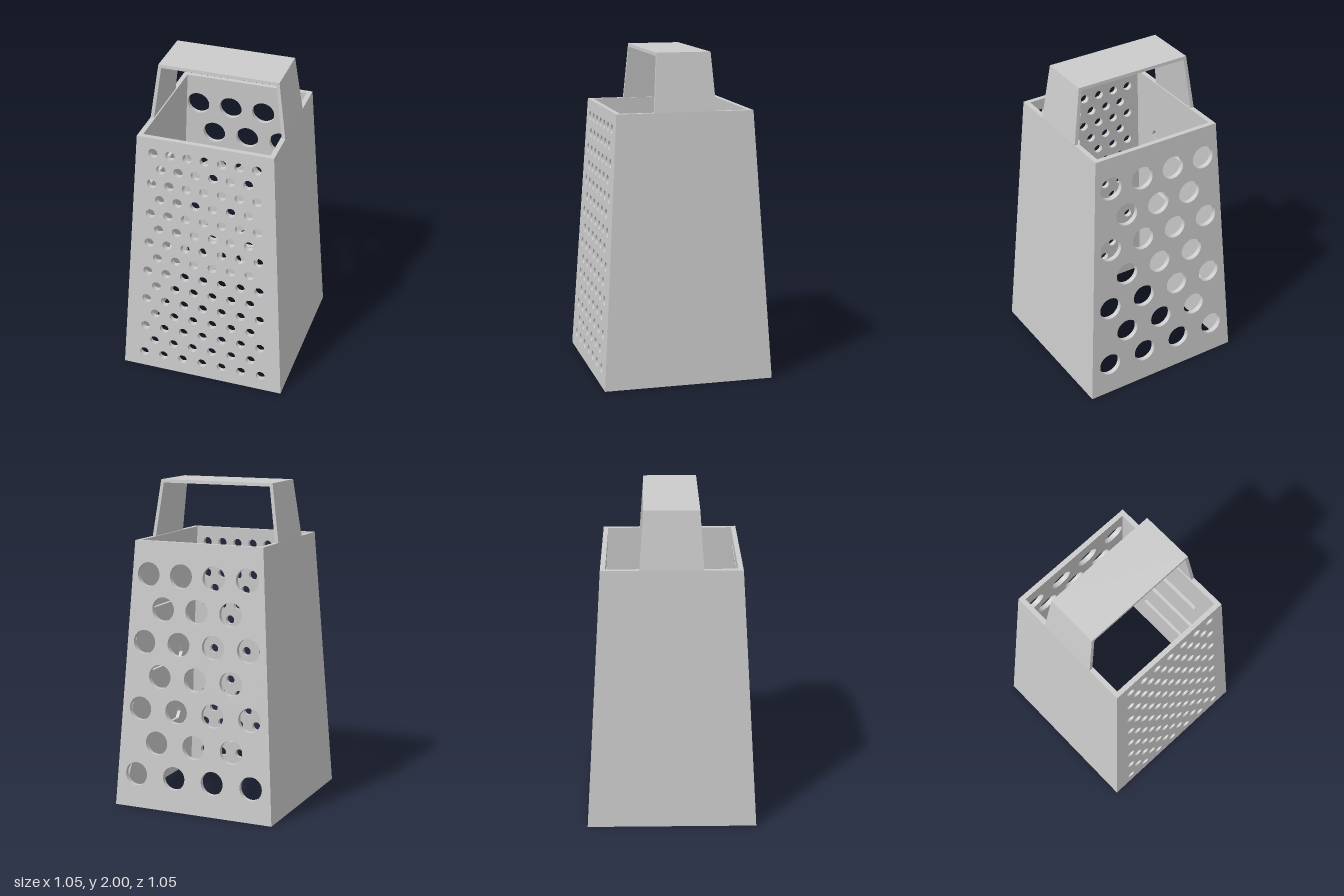
import * as THREE from 'three';
import { toCreasedNormals } from 'three/addons/utils/BufferGeometryUtils.js';

const H = 1.65, BOTTOM = 0.525, TOP = 0.42, WALL = 0.03;
const halfWidth = (y) => BOTTOM + (TOP - BOTTOM) * (y / H);
const material = new THREE.MeshStandardMaterial({ color: 0xcccccc });

// Lean a flat extrusion onto the sloping wall, mitring the side edges
function leanOntoWall(geometry) {
  const p = geometry.attributes.position;
  for (let i = 0; i < p.count; i++) {
    const x = p.getX(i), y = p.getY(i), z = p.getZ(i), w = halfWidth(y);
    if (Math.abs(x) > w - 1e-4) p.setX(i, Math.sign(x) * (w + z));
    p.setZ(i, w + z);
  }
  return toCreasedNormals(geometry, 0.6);
}

function extrudeInward(shape, depth) {
  const g = new THREE.ExtrudeGeometry(shape, { depth, bevelEnabled: false, curveSegments: 16 });
  g.translate(0, 0, -depth);
  return leanOntoWall(g);
}

// One tapered wall with the given holes, turned to its side
function makeWall(name, holes, angle) {
  const shape = new THREE.Shape([
    new THREE.Vector2(-BOTTOM, 0), new THREE.Vector2(BOTTOM, 0),
    new THREE.Vector2(TOP, H), new THREE.Vector2(-TOP, H),
  ]);
  shape.holes.push(...holes);
  const wall = new THREE.Mesh(extrudeInward(shape, WALL), material);
  wall.name = name;
  wall.rotation.y = angle;
  return wall;
}

// Staggered rows of round holes that spread with the wall
function holeRows(rows, firstY, stepY, most, radius, startFull) {
  const holes = [];
  for (let r = 0; r < rows; r++) {
    const y = firstY + r * stepY;
    const count = (r % 2 === 0) === startFull ? most : most - 1;
    const step = (2 * 0.75 * halfWidth(y)) / (most - 1);
    for (let i = 0; i < count; i++) {
      const path = new THREE.Path();
      path.absarc((i - (count - 1) / 2) * step, y, radius, 0, Math.PI * 2, true);
      holes.push(path);
    }
  }
  return holes;
}

// Long slot outline with pointed ends
function slotPoints(y) {
  const a = 0.56 * halfWidth(y), b = a - 0.025, h = 0.042;
  return [[-a, 0], [-b, -h], [b, -h], [a, 0], [b, h], [-b, h]]
    .map(([x, dy]) => new THREE.Vector2(x, y + dy));
}

export function createModel() {
  const group = new THREE.Group();
  group.name = 'boxGrater';

  // Fine and coarse grating walls
  group.add(makeWall('fineGratingWall', holeRows(15, 0.105, 0.1033, 7, 0.029, true), 0));
  group.add(makeWall('coarseGratingWall', holeRows(7, 0.21, 0.2065, 4, 0.073, true), Math.PI));

  // Side walls with slots closed flush on the outside
  const slotHeights = [0.417, 0.83, 1.24];
  for (const side of [1, -1]) {
    const label = side > 0 ? 'left' : 'right';
    const angle = side * Math.PI / 2;
    const holes = slotHeights.map((y) => new THREE.Path(slotPoints(y)));
    group.add(makeWall(label + 'SlicingWall', holes, angle));
    for (const y of slotHeights) {
      const plate = new THREE.Mesh(extrudeInward(new THREE.Shape(slotPoints(y)), 0.008), material);
      plate.name = label + 'SlotPlate';
      plate.rotation.y = angle;
      group.add(plate);
    }
  }

  // Strap handle, narrowing towards the top
  const strap = new THREE.Shape([
    [0.42, H], [0.37, 2], [-0.37, 2], [-0.42, H],
    [-0.398, H], [-0.352, 1.98], [0.352, 1.98], [0.398, H],
  ].map(([x, y]) => new THREE.Vector2(x, y)));
  const strapGeometry = new THREE.ExtrudeGeometry(strap, { depth: 1, bevelEnabled: false });
  const p = strapGeometry.attributes.position;
  for (let i = 0; i < p.count; i++) {
    const half = THREE.MathUtils.mapLinear(p.getY(i), H, 2, 0.19, 0.165);
    p.setZ(i, (p.getZ(i) * 2 - 1) * half);
  }
  strapGeometry.computeVertexNormals();
  const handle = new THREE.Mesh(strapGeometry, material);
  handle.name = 'handle';
  group.add(handle);

  return group;
}
